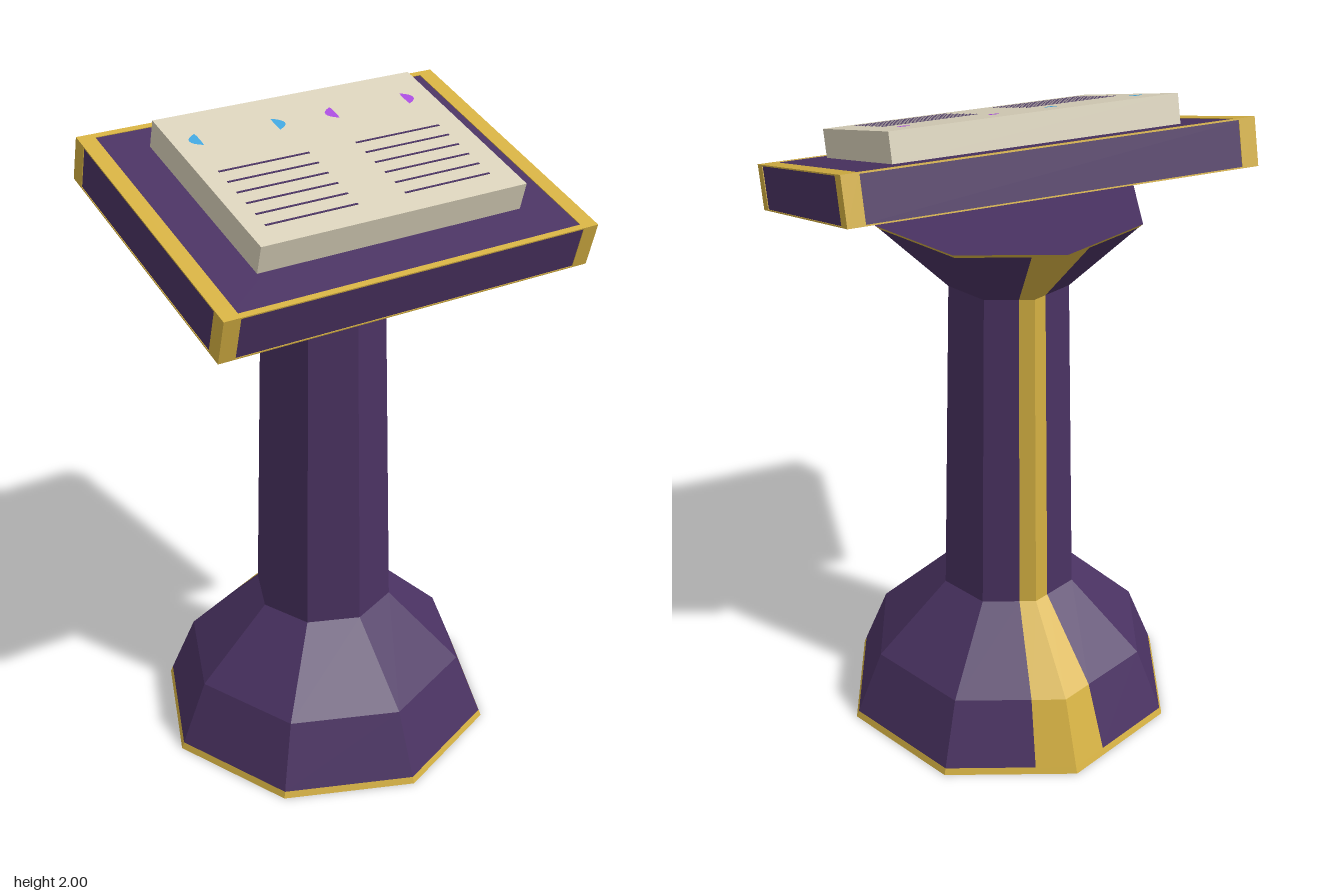
import * as THREE from 'three';

const mat = (name, color) => {
  const m = new THREE.MeshStandardMaterial({ color });
  m.name = name;
  return m;
};

export function createModel() {
  const purple = mat('dark purple', 0x4a3262);
  const gold = mat('gold', 0xd4b042);
  const page = mat('parchment', 0xd9d1ba);
  const blue = mat('glyph blue', 0x42a5dd);
  const violet = mat('glyph violet', 0xa84cdc);

  const model = new THREE.Group();
  model.name = 'lectern';

  const add = (parent, name, geometry, material, x = 0, y = 0, z = 0) => {
    const mesh = new THREE.Mesh(geometry, material);
    mesh.name = name;
    mesh.position.set(x, y, z);
    parent.add(mesh);
    return mesh;
  };
  const box = (parent, name, material, w, h, d, x, y, z) =>
    add(parent, name, new THREE.BoxGeometry(w, h, d), material, x, y, z);

  // Eight-sided pedestal: [radius, height] levels, split so the back corner carries a stripe
  const levels = [
    [0.532, 0], [0.524, 0.02], [0.442, 0.22], [0.216, 0.44],
    [0.188, 1.45], [0.389, 1.656], [0.402, 1.668],
  ];
  const corner = (i) => {
    const a = (i * Math.PI) / 4;
    return new THREE.Vector2(Math.sin(a), -Math.cos(a));
  };
  const ring = [];
  for (let i = 0; i < 8; i++) {
    ring.push(corner(i));
    if (i === 0) ring.push(corner(0).lerp(corner(1), 0.31));
    if (i === 7) ring.push(corner(0).lerp(corner(7), 0.31));
  }
  const n = ring.length;
  const point = ([r, y], j) => [ring[j % n].x * r, y, ring[j % n].y * r];
  const faces = { purple: [], gold: [] };
  for (let l = 0; l < levels.length - 1; l++) {
    const rim = l === 0 || l === levels.length - 2;
    for (let j = 0; j < n; j++) {
      const target = rim || j === 0 || j === n - 1 ? faces.gold : faces.purple;
      const lj = point(levels[l], j), lk = point(levels[l], j + 1);
      const uj = point(levels[l + 1], j), uk = point(levels[l + 1], j + 1);
      target.push(...lk, ...lj, ...uj, ...lk, ...uj, ...uk);
    }
  }
  const bottom = levels[0], top = levels[levels.length - 1];
  for (let j = 0; j < n; j++) {
    faces.purple.push(0, bottom[1], 0, ...point(bottom, j), ...point(bottom, j + 1));
    faces.purple.push(0, top[1], 0, ...point(top, j + 1), ...point(top, j));
  }
  const facets = (positions) => {
    const g = new THREE.BufferGeometry();
    g.setAttribute('position', new THREE.Float32BufferAttribute(positions, 3));
    g.computeVertexNormals();
    return g;
  };
  add(model, 'pedestal', facets(faces.purple), purple);
  add(model, 'pedestalTrim', facets(faces.gold), gold);

  // Tilted desk with everything that rests on it
  const desk = new THREE.Group();
  desk.name = 'desk';
  desk.position.set(0, 1.767, 0.065);
  desk.rotation.x = 0.2793;
  model.add(desk);

  const W = 1.19, H = 0.136, D = 0.848;
  box(desk, 'deskBoard', purple, W - 0.004, H - 0.004, D - 0.004, 0, 0, 0);
  for (const sx of [-1, 1]) {
    for (const sz of [-1, 1]) {
      box(desk, 'cornerPost', gold, 0.05, H, 0.05, sx * (W / 2 - 0.025), 0, sz * (D / 2 - 0.025));
    }
  }
  // Gold edging on the upper and lower faces
  for (const sy of [-1, 1]) {
    const y = sy * (H / 2 - 0.002);
    for (const s of [-1, 1]) {
      box(desk, 'sideEdging', gold, 0.05, 0.004, D - 0.1, s * (W / 2 - 0.025), y, 0);
      box(desk, 'longEdging', gold, W - 0.1, 0.004, 0.018, 0, y, s * (D / 2 - 0.009));
    }
  }

  // Thick block of pages
  const pageTop = H / 2 + 0.084;
  box(desk, 'pageBlock', page, 0.844, 0.084, 0.602, 0, H / 2 + 0.042, -0.017);

  // Crescent: one end of a flat oval ring
  const crescent = new THREE.Shape();
  const steps = 8, spread = 0.65;
  for (let i = 0; i <= steps; i++) {
    const a = -spread + (2 * spread * i) / steps;
    const x = 0.15 * Math.cos(a), y = 0.046 * Math.sin(a);
    if (i === 0) crescent.moveTo(x, y);
    else crescent.lineTo(x, y);
  }
  crescent.lineTo(0.118, 0.012);
  crescent.lineTo(0.118, -0.012);
  const crescentGeometry = new THREE.ShapeGeometry(crescent);
  crescentGeometry.rotateX(-Math.PI / 2);

  // Two columns of ruled lines, each headed by a pair of crescents
  for (const [x, colour] of [[-0.225, blue], [0.208, violet]]) {
    for (const turn of [0, Math.PI]) {
      add(desk, 'glyph', crescentGeometry, colour, x, pageTop + 0.002, -0.193).rotation.y = turn;
    }
    for (let i = 0; i < 6; i++) {
      box(desk, 'textLine', purple, 0.282, 0.002, 0.006, x, pageTop + 0.0005, -0.043 + i * 0.05);
    }
  }

  return model;
}
